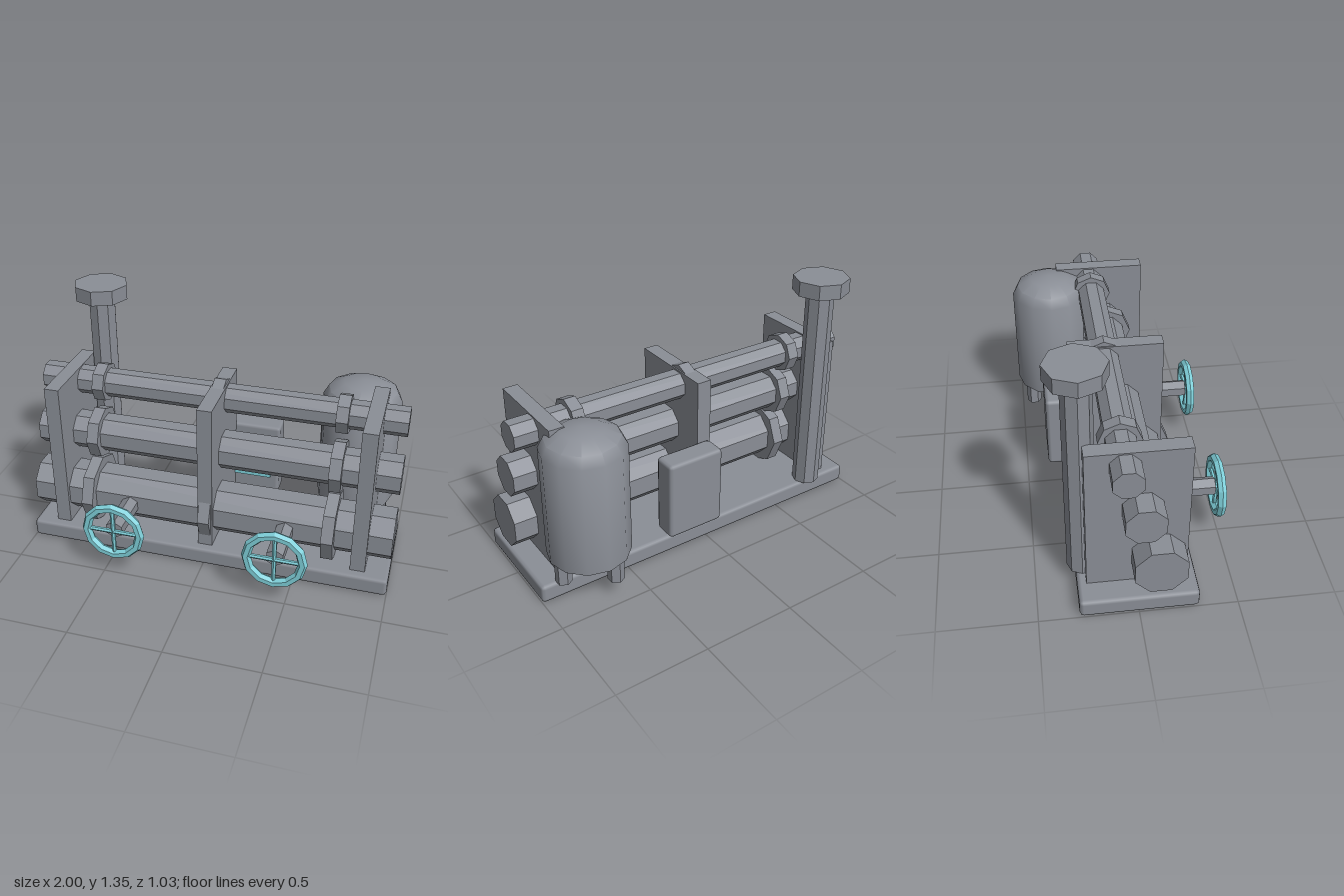
import * as THREE from 'three';
import { toCreasedNormals } from 'three/addons/utils/BufferGeometryUtils.js';
import { RoundedBoxGeometry } from 'three/addons/geometries/RoundedBoxGeometry.js';

export function createModel() {
  const model = new THREE.Group();
  model.name = 'pipeStation';

  const metal = new THREE.MeshStandardMaterial({ color: 0x8a8e96 });
  metal.name = 'steelGrey';
  const teal = new THREE.MeshStandardMaterial({ color: 0x7fd0da });
  teal.name = 'paleTeal';

  const add = (name, geometry, material, x, y, z, parent = model) => {
    const mesh = new THREE.Mesh(geometry, material);
    mesh.name = name;
    mesh.position.set(x, y, z);
    parent.add(mesh);
    return mesh;
  };
  // Faceted prism along an axis; twist turns it about that axis
  const prism = (radius, length, sides, axis = 'y', twist = 0) => {
    const g = new THREE.CylinderGeometry(radius, radius, length, sides, 1, false, twist);
    if (axis === 'x') g.rotateZ(Math.PI / 2);
    if (axis === 'z') g.rotateX(Math.PI / 2);
    return toCreasedNormals(g, 0.4);
  };

  // Base slab with chamfered edges
  add('base', new RoundedBoxGeometry(2, 0.1, 0.6, 1, 0.02), metal, 0, 0.05, 0.005);

  // Three upright support plates
  for (const x of [-0.835, 0, 0.835]) {
    add('supportPlate', new THREE.BoxGeometry(0.08, 0.84, 0.505), metal, x, 0.517, 0.003);
  }

  // Three horizontal pipes, each with three flanges
  const pipes = [
    { r: 0.141, y: 0.27, z: 0.106 },
    { r: 0.106, y: 0.587, z: 0.025 },
    { r: 0.079, y: 0.856, z: -0.06 },
  ];
  for (const { r, y, z } of pipes) {
    add('pipe', prism(r, 2, 8, 'x', Math.PI / 8), metal, 0, y, z);
    for (const x of [-0.667, 0, 0.667]) {
      add('flange', prism(r * 1.37, 0.064, 8, 'x'), metal, x, y, z);
    }
  }

  // Valve handwheels on stems from the lowest pipe
  for (const x of [-0.435, 0.435]) {
    const valve = new THREE.Group();
    valve.name = 'valve';
    valve.position.set(x, 0.27, 0);
    model.add(valve);
    add('stem', prism(0.05, 0.3, 6, 'z'), metal, 0, 0, 0.33, valve);
    const rim = toCreasedNormals(new THREE.TorusGeometry(0.148, 0.025, 6, 12), 0.4);
    add('handwheelRim', rim, teal, 0, 0, 0.491, valve);
    for (const axis of ['x', 'y']) {
      add('handwheelSpoke', prism(0.012, 0.29, 6, axis), teal, 0, 0, 0.491, valve);
    }
  }

  // Exhaust stack with wide cap
  add('stack', prism(0.075, 1.18, 8), metal, -0.735, 0.69, -0.262);
  add('stackCap', prism(0.149, 0.08, 8), metal, -0.735, 1.31, -0.262);

  // Domed tank
  const R = 0.214;
  const profile = [new THREE.Vector2(0, 0.237), new THREE.Vector2(R, 0.237)];
  for (let i = 0; i <= 3; i++) {
    const a = (i / 3) * (Math.PI / 2);
    profile.push(new THREE.Vector2(i === 3 ? 0 : R * Math.cos(a), 0.835 + 0.108 * Math.sin(a)));
  }
  const tank = toCreasedNormals(new THREE.LatheGeometry(profile, 12), 0.7);
  add('tank', tank, metal, 0.73, 0, -0.299);

  // Three tank legs
  for (let i = 0; i < 3; i++) {
    const a = (i / 3) * Math.PI * 2;
    add('tankLeg', prism(0.043, 0.16, 6), metal,
      0.73 + 0.15 * Math.cos(a), 0.18, -0.299 + 0.15 * Math.sin(a));
  }

  // Control box with a coloured panel on its front
  add('controlBox', new RoundedBoxGeometry(0.325, 0.44, 0.13, 1, 0.02), metal, 0.132, 0.375, -0.315);
  add('controlPanel', new THREE.BoxGeometry(0.235, 0.26, 0.02), teal, 0.132, 0.4, -0.243);

  return model;
}
